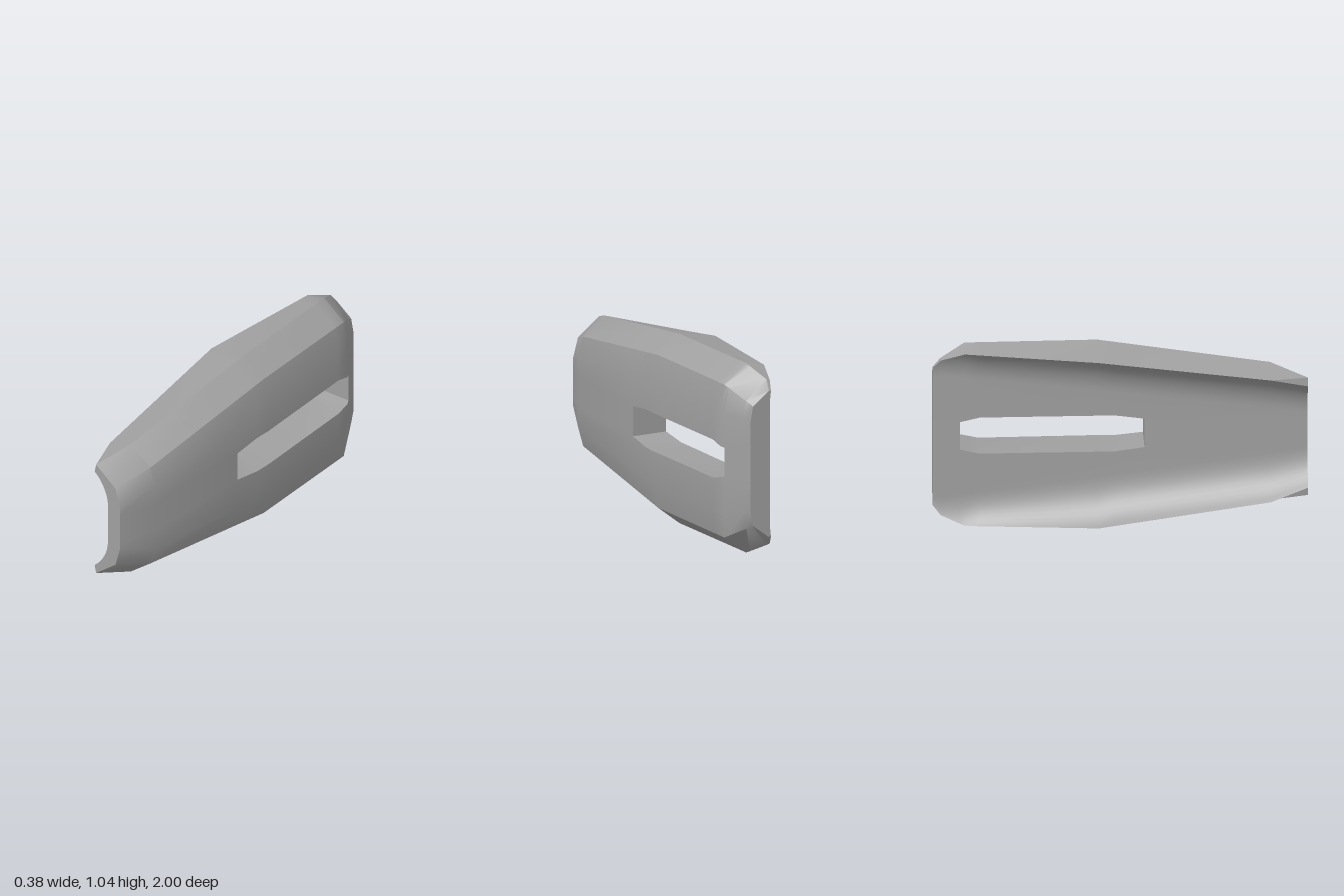
import * as THREE from 'three';
import { toCreasedNormals } from 'three/addons/utils/BufferGeometryUtils.js';

const MID = 0.5225; // height of the symmetry plane
const INNER_X = -0.03; // flat back of the channel
const ARC_R = 0.25, ARC_N = 10; // fillet inside the channel

// Half sections: z, then (x, half height) of wall edge, shoulder, ridge and flange tip
const SECTIONS = [
  [1, 0.05, 0.13, 0.02, 0.24, -0.11, 0.342, -0.12, 0.295],
  [0.8, 0.13, 0.2, 0.1, 0.302, -0.03, 0.402, -0.17, 0.355],
  [-0.12, 0.19, 0.28, 0.16, 0.422, 0.03, 0.5225, -0.19, 0.482],
  [-0.83, 0.18, 0.28, 0.155, 0.422, 0.02, 0.5225, -0.088, 0.5],
  [-0.96, 0.112, 0.257, 0.094, 0.352, -0.03, 0.457, -0.05, 0.45],
  [-1, 0.09, 0.25, 0.075, 0.33, -0.02, 0.402, -0.035, 0.4],
];
// Slot outline: z, half height
const SLOT = [[0.13, 0.083], [-0.03, 0.105], [-0.75, 0.105], [-0.855, 0.08]];

// Linear interpolation in a table whose first column is a falling z
function sample(table, z) {
  if (z >= table[0][0]) return table[0];
  for (let i = 1; i < table.length; i++) {
    const a = table[i - 1], b = table[i];
    if (z >= b[0]) return a.map((v, k) => THREE.MathUtils.lerp(v, b[k], (a[0] - z) / (a[0] - b[0])));
  }
  return table[table.length - 1];
}

// Closed loop at z, counter-clockwise from the front: upper half, then its mirror
function ring(z) {
  const [, ax, ah, bx, bh, cx, ch, tx, th] = sample(SECTIONS, z);
  const s = sample(SLOT, z)[1];
  const half = [[ax, s], [ax, ah], [bx, bh], [cx, ch]];
  const dx = INNER_X - tx;
  const sweep = Math.acos(1 - dx / ARC_R);
  const flat = th - ARC_R * Math.sin(sweep);
  for (let k = 0; k <= ARC_N; k++) {
    const t = sweep * (1 - k / ARC_N);
    half.push([INNER_X - ARC_R * (1 - Math.cos(t)), flat + ARC_R * Math.sin(t)]);
  }
  half.push([INNER_X, s]);
  const lower = half.map(([x, h]) => [x, -h]).reverse();
  return [...half, ...lower].map(([x, h]) => new THREE.Vector3(x, MID + h, z));
}

function channelGeometry() {
  const zs = [...SECTIONS, ...SLOT].map((r) => r[0]).sort((a, b) => b - a);
  const rings = zs.map(ring);
  const count = rings[0].length, n = count / 2 - 1;
  const slotFront = zs.indexOf(SLOT[0][0]), slotBack = zs.indexOf(SLOT[SLOT.length - 1][0]);
  const pos = [];
  const tri = (...p) => p.forEach((v) => pos.push(v.x, v.y, v.z));
  const quad = (a, b, c, d) => { tri(a, b, c); tri(a, c, d); };

  // Skin, opened along the slot and closed there by the slot walls
  for (let i = 0; i < zs.length - 1; i++) {
    const inSlot = i >= slotFront && i < slotBack;
    for (let j = 0; j < count; j++) {
      let k = (j + 1) % count;
      if (inSlot && j === n) k = 0;
      if (inSlot && j === count - 1) k = n + 1;
      quad(rings[i][j], rings[i + 1][j], rings[i + 1][k], rings[i][k]);
    }
  }
  // Slot ends
  const mouth = (r) => [r[0], r[n], r[n + 1], r[count - 1]];
  quad(...mouth(rings[slotFront]).reverse());
  quad(...mouth(rings[slotBack]));

  // Front and rear end faces
  const cap = (r, flip) => {
    const outline = r.map((p) => new THREE.Vector2(p.x, p.y));
    for (const [a, b, c] of THREE.ShapeUtils.triangulateShape(outline, [])) {
      if (flip) tri(r[c], r[b], r[a]);
      else tri(r[a], r[b], r[c]);
    }
  };
  cap(rings[0], false);
  cap(rings[rings.length - 1], true);

  const geo = new THREE.BufferGeometry();
  geo.setAttribute('position', new THREE.Float32BufferAttribute(pos, 3));
  return toCreasedNormals(geo, THREE.MathUtils.degToRad(34));
}

export function createModel() {
  const group = new THREE.Group();
  group.name = 'slottedChannelGuard';
  const grey = new THREE.MeshStandardMaterial({ color: 0xa0a0a0 });
  grey.name = 'plain grey';
  const body = new THREE.Mesh(channelGeometry(), grey);
  body.name = 'slottedChannelBody';
  group.add(body);
  return group;
}
